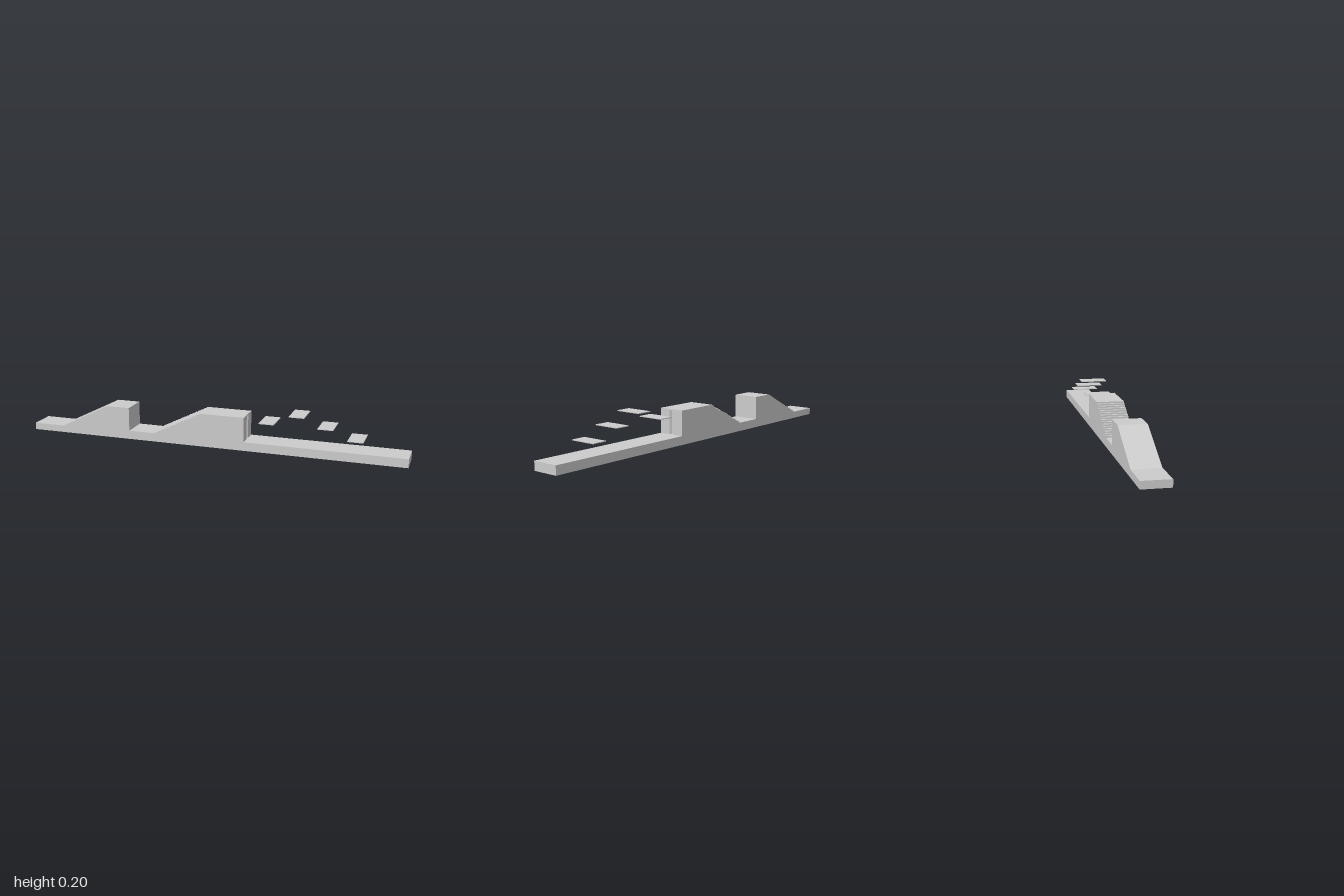
import * as THREE from 'three';

const WIDTH = 0.139; // full depth of the course in z
const HALF = WIDTH / 2;
const FLOOR = 0.045;
const TOP = 0.173;
const WALL = 0.183; // x of the tall drop
const GROOVE = 0.012;

export function createModel() {
  const model = new THREE.Group();
  const material = new THREE.MeshStandardMaterial({ color: 0xcccccc, flatShading: true });

  const add = (name, geometry, x = 0, y = 0, z = 0) => {
    const mesh = new THREE.Mesh(geometry, material);
    mesh.name = name;
    mesh.position.set(x, y, z);
    model.add(mesh);
    return mesh;
  };
  const extrude = (points, depth) => new THREE.ExtrudeGeometry(
    new THREE.Shape(points.map(([x, y]) => new THREE.Vector2(x, y))),
    { depth, bevelEnabled: false }
  );

  // Course body: ramp, drop, staircase, plateau and long floor in one side profile
  const profile = [
    [-1, 0], [1, 0], [1, FLOOR], [WALL - GROOVE, FLOOR], [WALL - GROOVE, TOP], [-0.055, TOP],
  ];
  const steps = 16, startX = -0.31, endX = -0.055;
  const run = (endX - startX) / steps, rise = (TOP - FLOOR) / steps;
  for (let i = steps - 1; i >= 0; i--) {
    const x = startX + run * (i + 1);
    if (i < steps - 1) profile.push([x, FLOOR + rise * (i + 1)]);
    profile.push([x, FLOOR + rise * i]);
  }
  profile.push([-0.442, FLOOR], [-0.442, 0.168], [-0.565, 0.168], [-0.83, 0.036], [-1, 0.036]);
  add('courseBody', extrude(profile, WIDTH), 0, 0, -HALF);

  // Wall face with a narrow upright groove, drawn in plan and raised
  const grooveTop = 0.167;
  const plan = [
    [0, -HALF], [GROOVE, -HALF], [GROOVE, -0.0135], [0.001, -0.006],
    [0.001, 0.006], [GROOVE, 0.0135], [GROOVE, HALF], [0, HALF],
  ];
  const face = extrude(plan, grooveTop - FLOOR);
  face.rotateX(-Math.PI / 2);
  add('groovedWall', face, WALL - GROOVE, FLOOR, 0);
  add('wallCap', new THREE.BoxGeometry(GROOVE, TOP - grooveTop, WIDTH),
    WALL - GROOVE / 2, (TOP + grooveTop) / 2, 0);

  // Thin floating platforms
  const platforms = [[0.299, 0.15], [0.451, 0.198], [0.595, 0.15], [0.743, 0.102]];
  platforms.forEach(([x, y], i) => {
    add(`floatingPlatform${i + 1}`, new THREE.BoxGeometry(0.078, 0.004, WIDTH), x, y, 0);
  });

  return model;
}
